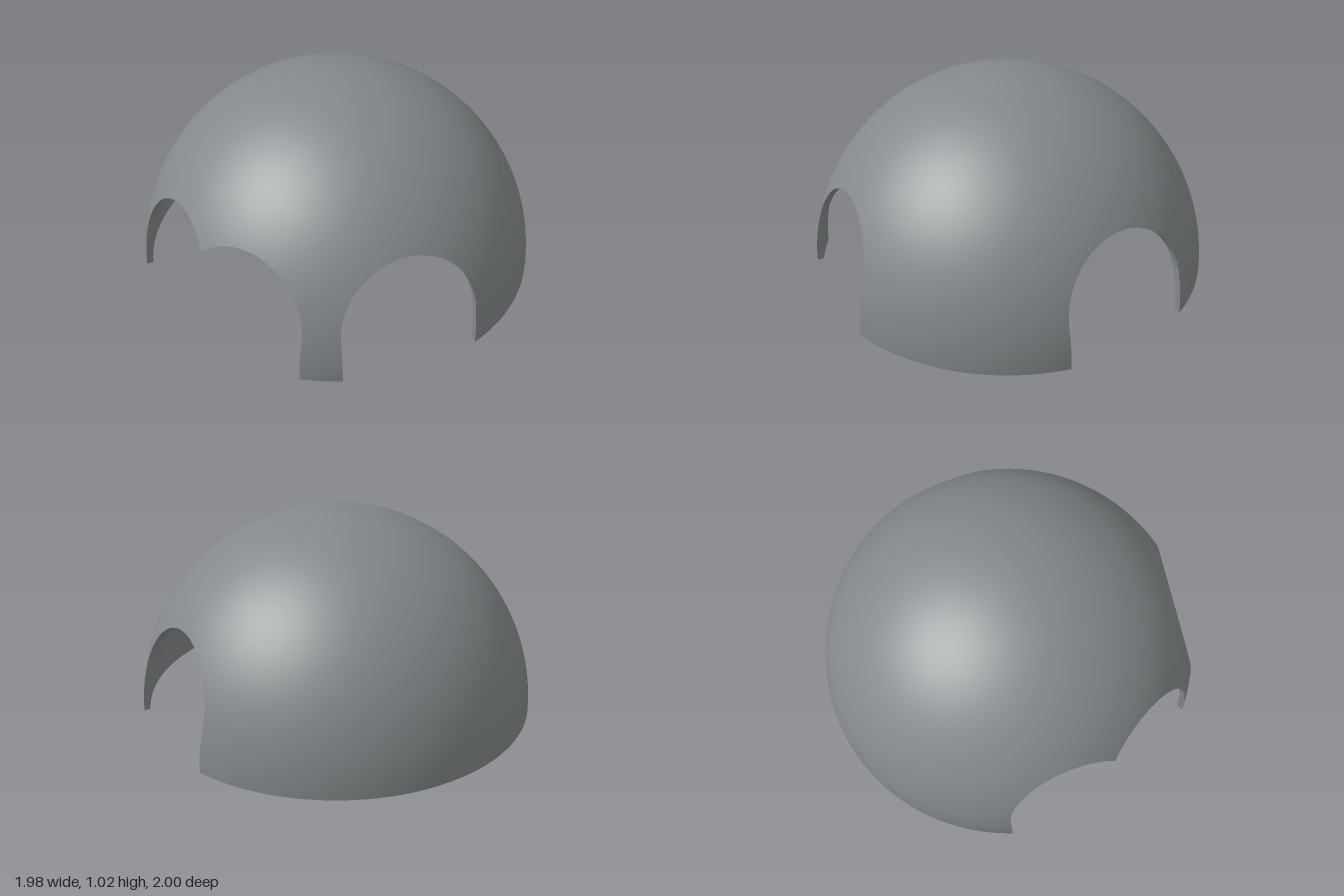
import * as THREE from 'three';

const OUTER = 1.02, INNER = 0.988, CENTRE_Z = 0.018;
const HALF_W = 0.345, SPRING = 0.217;   // arch half width and spring line
const SPLIT = 0.246;                    // height where piers meet the vault
const rad = THREE.MathUtils.degToRad, lerp = THREE.MathUtils.lerp;

// Arched openings by azimuth (from +x towards +z); the last two run together
const openings = [
  { dir: rad(-6) },
  { dir: rad(94.3) },
  { dir: rad(145.2), joinHigh: true },
  { dir: rad(175), joinLow: true },
];
const JOIN = (openings[3].dir - openings[2].dir) / 2;

// Point on a sphere of radius R at an azimuth and height
function onSphere(R, az, y) {
  const h = Math.sqrt(Math.max(0, R * R - y * y));
  return new THREE.Vector3(h * Math.cos(az), y, h * Math.sin(az));
}

// Half the azimuth angle an opening takes up at height y
function halfAngle(R, y) {
  const d = Math.max(0, y - SPRING);
  const l = Math.sqrt(Math.max(0, HALF_W * HALF_W - d * d));
  return Math.asin(l / Math.sqrt(R * R - y * y));
}

// Height of the cusp where two openings meet
function cuspHeight(R) {
  let lo = SPLIT, hi = SPRING + HALF_W;
  for (let i = 0; i < 40; i++) {
    const mid = (lo + hi) / 2;
    if (halfAngle(R, mid) > JOIN) lo = mid; else hi = mid;
  }
  return lo;
}

// Azimuth and height along the arch of an opening, t from 0 to 1
function archAt(R, o, t) {
  const angle = (y) => Math.asin((y - SPRING) / HALF_W);
  const start = angle(o.joinLow ? cuspHeight(R) : SPLIT);
  const end = Math.PI - angle(o.joinHigh ? cuspHeight(R) : SPLIT);
  const a = lerp(start, end, t);
  const y = SPRING + HALF_W * Math.sin(a);
  return [o.dir - Math.sign(Math.cos(a)) * halfAngle(R, y), y];
}

// Grid surface from f(u, v); spherical sheets get exact smooth normals
function sheet(nu, nv, f, flip, sphereSign) {
  const pos = [], nor = [], idx = [];
  for (let i = 0; i <= nu; i++) for (let j = 0; j <= nv; j++) {
    const p = f(i / nu, j / nv);
    pos.push(p.x, p.y, p.z + CENTRE_Z);
    if (sphereSign) nor.push(...p.normalize().multiplyScalar(sphereSign).toArray());
  }
  for (let i = 0; i < nu; i++) for (let j = 0; j < nv; j++) {
    const a = i * (nv + 1) + j, b = a + nv + 1;
    if (flip) idx.push(a, b, a + 1, b, b + 1, a + 1);
    else idx.push(a, a + 1, b, b, a + 1, b + 1);
  }
  const g = new THREE.BufferGeometry();
  g.setAttribute('position', new THREE.Float32BufferAttribute(pos, 3));
  g.setIndex(idx);
  if (sphereSign) g.setAttribute('normal', new THREE.Float32BufferAttribute(nor, 3));
  else g.computeVertexNormals();
  return g;
}

export function createModel() {
  const model = new THREE.Group();
  model.name = 'archedDome';
  const grey = new THREE.MeshStandardMaterial({ color: 0x84888a, side: THREE.DoubleSide });
  grey.name = 'stone grey';
  const add = (name, geometry) => {
    const mesh = new THREE.Mesh(geometry, grey);
    mesh.name = name;
    model.add(mesh);
  };
  // Outer and inner skins of one part of the dome
  const skins = (name, nu, nv, f) => {
    add(name + 'Outside', sheet(nu, nv, (u, v) => onSphere(OUTER, ...f(OUTER, u, v)), false, 1));
    add(name + 'Inside', sheet(nu, nv, (u, v) => onSphere(INNER, ...f(INNER, u, v)), true, -1));
  };
  // Edge face joining the outer skin to the inner one
  const rim = (name, n, f) => add(name, sheet(n, 1, (u, v) => {
    const R = v ? INNER : OUTER;
    return onSphere(R, ...f(R, u));
  }, true, 0));
  // Vault rising from a lower edge to the crown
  const vault = (name, n, edge) => skins(name, n, 28, (R, u, v) => {
    const [az, y] = edge(R, u);
    return [az, R * Math.sin(lerp(Math.asin(y / R), Math.PI / 2, v))];
  });

  // Vault above each opening, and the underside of its arch
  for (const o of openings) {
    const edge = (R, t) => archAt(R, o, t);
    vault('vaultOverArch', 48, edge);
    rim('archSoffit', 48, edge);
  }

  // Solid piers between the openings
  for (const [i, j, n] of [[0, 1, 30], [1, 2, 8], [3, 0, 72]]) {
    const turn = j < i ? Math.PI * 2 : 0;
    const pier = (R, u, y) => {
      const h = halfAngle(R, y);
      return [lerp(openings[i].dir + h, openings[j].dir + turn - h, u), y];
    };
    skins('pier', n, 8, (R, u, v) => pier(R, u, v * SPLIT));
    vault('vaultOverPier', n, (R, u) => pier(R, u, SPLIT));
    rim('pierFoot', n, (R, u) => pier(R, u, 0));
    rim('pierSide', 8, (R, t) => pier(R, 0, (1 - t) * SPLIT));
    rim('pierSide', 8, (R, t) => pier(R, 1, t * SPLIT));
  }
  return model;
}
